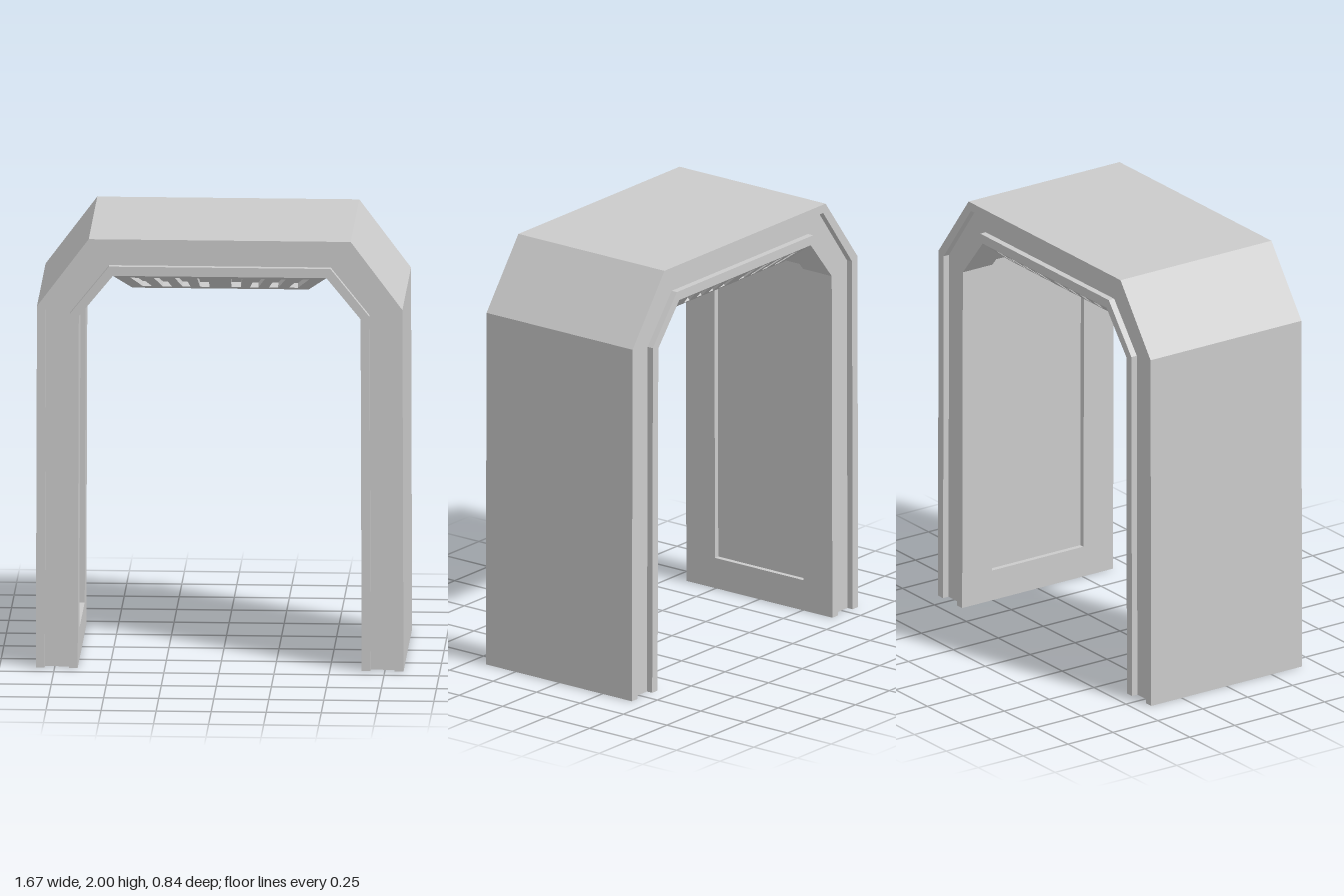
import * as THREE from 'three';

const material = new THREE.MeshStandardMaterial({ color: 0xcccccc, flatShading: true });

// Half profiles, from the ground up to the top edge (x > 0 side)
const OUTER = [[0.835, 0], [0.83, 1.685], [0.595, 2]];
const GROOVE_OUT = [[0.795, 0], [0.79, 1.67], [0.577, 1.96]];
const GROOVE_IN = [[0.685, 0], [0.68, 1.652], [0.503, 1.873]];
const INNER = [[0.645, 0], [0.64, 1.64], [0.485, 1.83]];
// Inner profile with the sunken wall panel that folds onto the slope
const INNER_PANEL = [[0.645, 0], [0.645, 0.145], [0.669, 0.145], [0.665, 1.649],
  [0.594, 1.736], [0.575, 1.72], [0.485, 1.83]];

const HALF_DEPTH = 0.42, GROOVE_Z = 0.39, PANEL_Z = 0.255;

function mesh(name, geometry) {
  const m = new THREE.Mesh(geometry, material);
  m.name = name;
  return m;
}

const mirror = (half) => half.map(([x, y]) => [-x, y]).reverse();
const toShape = (pts) => new THREE.Shape(pts.map(([x, y]) => new THREE.Vector2(x, y)));

// Arch-shaped slab between two half profiles, from z0 to z1
function arch(name, outer, inner, z0, z1) {
  const shape = toShape([...outer, ...mirror(outer), ...mirror(inner).reverse(), ...inner.slice().reverse()]);
  const g = new THREE.ExtrudeGeometry(shape, { depth: z1 - z0, bevelEnabled: false });
  return mesh(name, g.translate(0, 0, z0));
}

// Ceiling vent: an upside-down hopper with slotted sloping ends
const TOP = { x: 0.485, y: 1.83, z: 0.42 };
const BOT = { x: 0.4, y: 1.755, z: 0.33 };
const SLOPE = Math.hypot(TOP.y - BOT.y, TOP.z - BOT.z);
// Slots: [top x from, top x to, bottom x from, bottom x to]
const SLOTS = [
  [0.357, 0.405, 0.31, 0.352],
  [0.25, 0.3, 0.22, 0.262],
  [0.156, 0.204, 0.135, 0.172],
  [0.05, 0.103, 0.05, 0.093],
];

function ventEnd() {
  const end = new THREE.Group();
  end.name = 'ventEnd';
  const outline = [[-BOT.x, 0], [BOT.x, 0], [TOP.x, SLOPE], [-TOP.x, SLOPE]];
  const plate = toShape(outline);
  const lo = SLOPE * 0.14, hi = SLOPE * 0.86;
  for (const side of [-1, 1]) {
    for (const [t0, t1, b0, b1] of SLOTS) {
      const pts = [[t0, hi], [t1, hi], [b1, lo], [b0, lo]];
      plate.holes.push(new THREE.Path(pts.map(([x, y]) => new THREE.Vector2(side * x, y))));
    }
  }
  const depth = 0.025, back = 0.005;
  const front = new THREE.ExtrudeGeometry(plate, { depth, bevelEnabled: false });
  const floor = new THREE.ExtrudeGeometry(toShape(outline), { depth: back, bevelEnabled: false });
  end.add(mesh('slottedPlate', front.translate(0, 0, -depth)));
  end.add(mesh('slotFloor', floor.translate(0, 0, -depth - back)));
  end.position.set(0, BOT.y, BOT.z);
  end.rotation.x = Math.atan2(TOP.z - BOT.z, TOP.y - BOT.y);
  return end;
}

// Bottom and sloping long sides of the vent
function ventBody() {
  const section = [[-TOP.x, TOP.y, TOP.z], [-BOT.x, BOT.y, BOT.z], [BOT.x, BOT.y, BOT.z], [TOP.x, TOP.y, TOP.z]];
  const pos = [];
  for (let i = 0; i < 3; i++) {
    const [a, b] = [section[i], section[i + 1]];
    const a2 = [a[0], a[1], -a[2]], b2 = [b[0], b[1], -b[2]];
    pos.push(...a, ...a2, ...b, ...b, ...a2, ...b2);
  }
  const g = new THREE.BufferGeometry();
  g.setAttribute('position', new THREE.Float32BufferAttribute(pos, 3));
  g.computeVertexNormals();
  return mesh('ventBody', g);
}

export function createModel() {
  const model = new THREE.Group();
  model.name = 'archway';

  // Main arch, with wall panels sunk into the middle part
  model.add(arch('panelSection', OUTER, INNER_PANEL, -PANEL_Z, PANEL_Z));
  model.add(arch('frontSection', OUTER, INNER, PANEL_Z, GROOVE_Z));
  model.add(arch('backSection', OUTER, INNER, -GROOVE_Z, -PANEL_Z));

  // Raised rims that leave a groove on each end
  for (const [name, z0, z1] of [['front', GROOVE_Z, HALF_DEPTH], ['back', -HALF_DEPTH, -GROOVE_Z]]) {
    model.add(arch(name + 'OuterRim', OUTER, GROOVE_OUT, z0, z1));
    model.add(arch(name + 'InnerRim', GROOVE_IN, INNER, z0, z1));
  }

  // Ceiling vent with a slotted slope at both ends
  const vent = new THREE.Group();
  vent.name = 'ceilingVent';
  const backHalf = new THREE.Group();
  backHalf.name = 'backVentEnd';
  backHalf.rotation.y = Math.PI;
  backHalf.add(ventEnd());
  vent.add(ventBody(), ventEnd(), backHalf);
  model.add(vent);

  return model;
}
